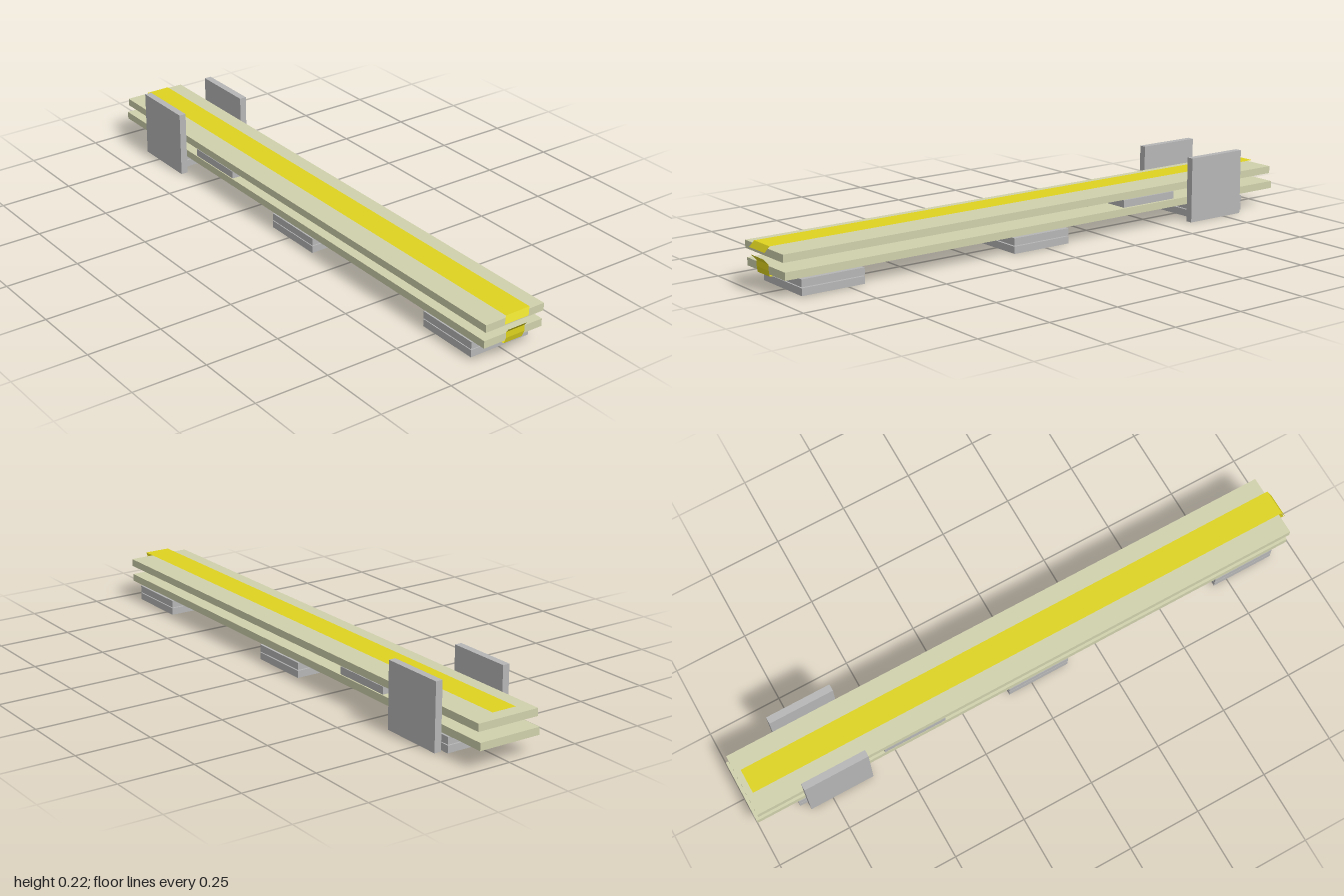
import * as THREE from 'three';

const mat = (name, color, side = THREE.FrontSide) => {
  const m = new THREE.MeshStandardMaterial({ color, side });
  m.name = name;
  return m;
};

export function createModel() {
  const model = new THREE.Group();
  const wood = mat('pale wood', 0xd0d1ac);
  const grey = mat('grey', 0xb6b6b6);
  const yellow = mat('yellow', 0xddd320, THREE.DoubleSide);

  const add = (name, geometry, material) => {
    const mesh = new THREE.Mesh(geometry, material);
    mesh.name = name;
    model.add(mesh);
    return mesh;
  };
  // Box given by its extents along each axis
  const box = (name, material, [x0, x1], [y0, y1], [z0, z1]) =>
    add(name, new THREE.BoxGeometry(x1 - x0, y1 - y0, z1 - z0), material)
      .position.set((x0 + x1) / 2, (y0 + y1) / 2, (z0 + z1) / 2);

  // Upper plank
  const width = [-0.11, 0.11];
  box('upperPlank', wood, width, [0.115, 0.14], [-0.99, 0.98]);

  // Lower plank with a round hole; shape y becomes -z
  const shape = new THREE.Shape();
  shape.moveTo(-0.11, -0.975).lineTo(0.11, -0.975).lineTo(0.11, 1).lineTo(-0.11, 1).closePath();
  const hole = new THREE.Path();
  hole.absarc(-0.015, 0.24, 0.03, 0, Math.PI * 2, true);
  shape.holes.push(hole);
  const lower = new THREE.ExtrudeGeometry(shape, { depth: 0.025, bevelEnabled: false, curveSegments: 12 });
  lower.rotateX(-Math.PI / 2);
  add('lowerPlank', lower, wood).position.y = 0.06;

  // Stacked support blocks in pairs
  for (const z of [0.81, 0.025, -0.745]) {
    for (const y of [0.004, 0.031]) {
      box('supportBlock', grey, width, [y, y + 0.024], [z - 0.11, z + 0.11]);
    }
  }

  // Spacer between the planks
  box('spacerBlock', grey, width, [0.088, 0.113], [-0.54, -0.32]);

  // Upright side plates
  box('leftSidePlate', grey, [0.111, 0.135], [0, 0.222], [-0.825, -0.6]);
  box('rightSidePlate', grey, [-0.136, -0.112], [0, 0.222], [-0.828, -0.603]);

  // Tape made of rows [x0, x1, y, z], joined into a thin strip
  const tape = (name, rows) => {
    const points = [];
    const index = [];
    rows.forEach(([x0, x1, y, z], i) => {
      points.push(x0, y, z, x1, y, z);
      if (i) {
        const a = 2 * (i - 1);
        index.push(a, a + 2, a + 1, a + 1, a + 2, a + 3);
      }
    });
    let g = new THREE.BufferGeometry();
    g.setAttribute('position', new THREE.Float32BufferAttribute(points, 3));
    g.setIndex(index);
    g = g.toNonIndexed();
    g.computeVertexNormals();
    add(name, g, yellow);
  };
  tape('upperTape', [
    [-0.043, 0.043, 0.153, -0.97],
    [-0.043, 0.047, 0.153, 0.987],
    [-0.055, 0.035, 0.132, 0.998],
  ]);
  tape('lowerTape', [
    [-0.043, 0.028, 0.112, 1.0],
    [-0.037, 0.033, 0.095, 0.985],
    [-0.036, 0.034, 0.075, 0.985],
    [-0.04, 0.03, 0.056, 0.98],
    [-0.04, 0.03, 0.0565, 0.27],
  ]);

  return model;
}
